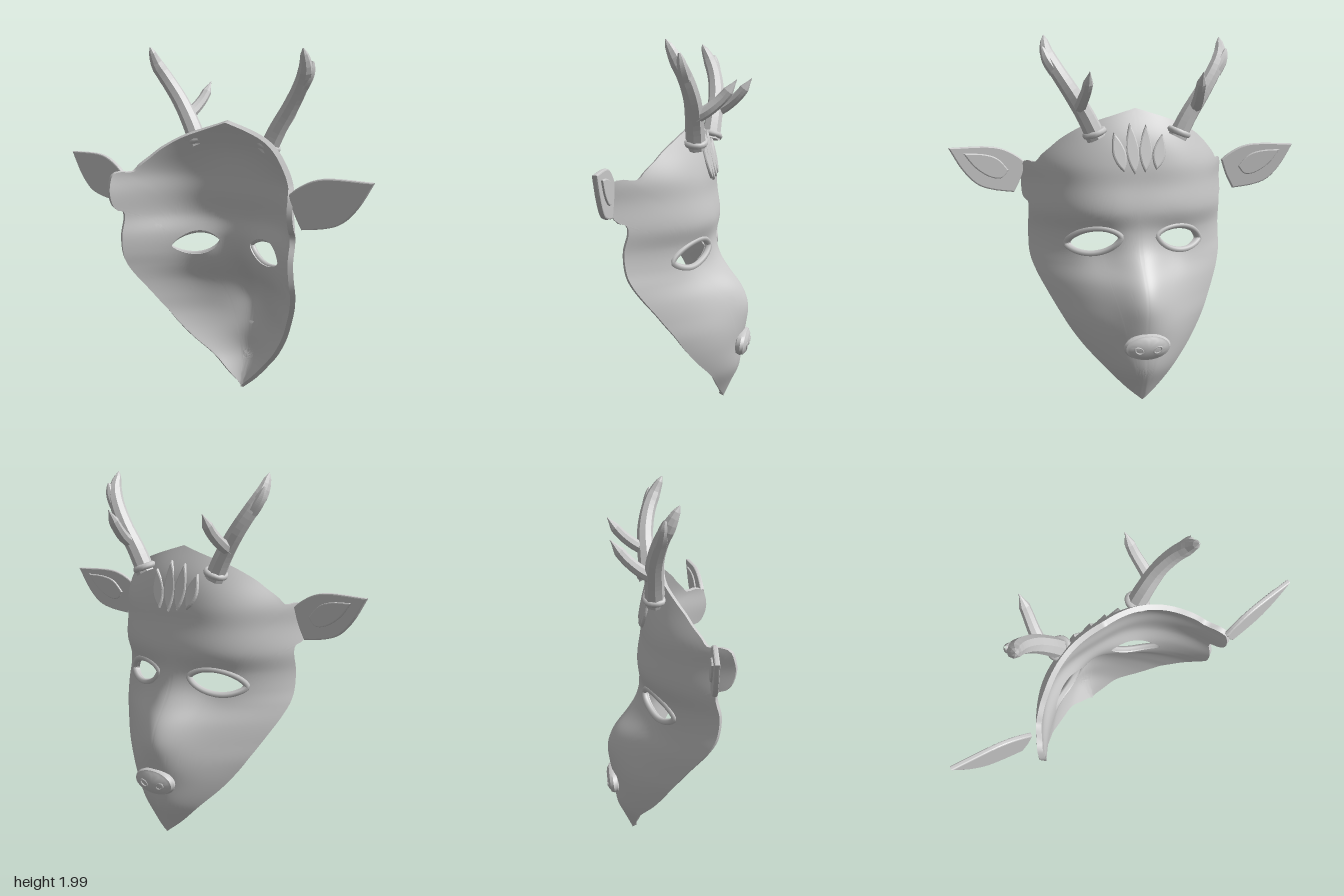
import * as THREE from 'three';
import { mergeVertices, toCreasedNormals } from 'three/addons/utils/BufferGeometryUtils.js';

const V2 = (a) => a.map(([x, y]) => new THREE.Vector2(x, y));
const V3 = (a) => a.map((p) => new THREE.Vector3(...p));
const smooth = new THREE.MeshStandardMaterial({ color: 0xcccccc });
const flat = new THREE.MeshStandardMaterial({ color: 0xcccccc, flatShading: true });

function add(parent, name, geometry, material = smooth) {
  const mesh = new THREE.Mesh(geometry, material);
  mesh.name = name;
  parent.add(mesh);
  return mesh;
}

// Reflected copy across x = 0 with the winding restored
function mirror(geometry) {
  const g = geometry.index ? geometry.toNonIndexed() : geometry.clone();
  g.scale(-1, 1, 1);
  for (const attr of Object.values(g.attributes)) {
    const { array, itemSize: n } = attr;
    for (let i = 0; i < attr.count; i += 3) {
      for (let k = 0; k < n; k++) {
        const a = (i + 1) * n + k, b = (i + 2) * n + k;
        [array[a], array[b]] = [array[b], array[a]];
      }
    }
  }
  return g;
}

function addPair(parent, name, geometry, material) {
  add(parent, 'left' + name, geometry, material);
  add(parent, 'right' + name, mirror(geometry), material);
}

// Face relief by height: centre z, sideways sweep, sweep power, snout height
const heights = [0, 0.1, 0.2, 0.34, 0.45, 0.56, 0.66, 0.76, 0.84, 0.94, 1.05, 1.2, 1.3, 1.45, 1.62];
const relief = [
  -0.17, 0.80, 1.4, 0, -0.215, 0.82, 1.5, 0, -0.262, 0.74, 1.6, 0, -0.277, 0.61, 1.75, 0,
  -0.30, 0.52, 1.65, 0.02, -0.31, 0.46, 1.7, 0.06, -0.275, 0.405, 1.85, 0.07, -0.20, 0.35, 2.1, 0.06,
  -0.15, 0.35, 2.25, 0.03, -0.125, 0.355, 2.5, 0.01, -0.135, 0.355, 2.9, 0, -0.115, 0.36, 3.2, 0,
  -0.11, 0.35, 3.1, 0, -0.083, 0.39, 2.6, 0, -0.005, 0.38, 2.4, 0,
];
const reliefCurve = new THREE.CubicInterpolant(heights, relief, 4);

function faceZ(x, y) {
  const [c, d, p, s] = reliefCurve.evaluate(THREE.MathUtils.clamp(y, 0, 1.62));
  const round = 0.13 * THREE.MathUtils.smoothstep(y, 0, 0.16);
  const sweep = Math.hypot(x / 0.57, round) ** p - round ** p;
  const socket = 0.018 * Math.exp(-(((Math.abs(x) - 0.2) / 0.1) ** 2) - ((y - 0.85) / 0.1) ** 2);
  return c + d * sweep + s * (1 - Math.exp(-((x / 0.14) ** 2))) + socket;
}

// Almond-shaped eye, tilted down toward the outside
function eyePoint(angle, grow = 0) {
  const t = angle + 0.16, s = Math.sin(t);
  const u = (0.133 + grow) * Math.cos(t);
  const v = (0.061 + grow * 0.8) * s * Math.abs(s) ** 0.4;
  return [0.242 + u * 0.987 + v * 0.16, 0.892 - u * 0.16 + v * 0.987];
}

function maskGeometry() {
  // Half outline with a small tab at the side where the ear is fixed
  const side = new THREE.SplineCurve(V2([
    [0, 0.01], [0.1, 0.095], [0.2, 0.2], [0.295, 0.3], [0.37, 0.4], [0.43, 0.5], [0.485, 0.6],
    [0.535, 0.7], [0.565, 0.8], [0.567, 0.95], [0.566, 1.08], [0.59, 1.11], [0.596, 1.2],
    [0.592, 1.29], [0.568, 1.316], [0.53, 1.31], [0.5, 1.35], [0.46, 1.39],
    [0.38, 1.46], [0.25, 1.53], [0, 1.61],
  ])).getSpacedPoints(120);
  const loop = [...side];
  for (let k = 1; k < 50; k++) loop.push(new THREE.Vector2(0, 1.61 - (1.6 * k) / 50));

  // Outer skin: rings from each eye out to the edge of its half
  const rings = 26, n = loop.length, pos = [], idx = [];
  for (const sx of [1, -1]) {
    const base = pos.length / 3;
    for (let i = 0; i <= rings; i++) {
      for (const p of loop) {
        const [ex, ey] = eyePoint(Math.atan2(p.y - 0.892, p.x - 0.242));
        const t = i / rings;
        const x = ex * (1 - t) + p.x * t, y = ey * (1 - t) + p.y * t;
        pos.push(sx * x, y, faceZ(x, y));
      }
    }
    for (let i = 0; i < rings; i++) {
      for (let j = 0; j < n; j++) {
        const a = base + i * n + j, d = base + i * n + ((j + 1) % n);
        const b = a + n, c = d + n;
        if (sx > 0) idx.push(a, c, b, a, d, c);
        else idx.push(a, b, c, a, c, d);
      }
    }
  }
  let g = new THREE.BufferGeometry();
  g.setAttribute('position', new THREE.Float32BufferAttribute(pos, 3));
  g.setIndex(idx);
  g = mergeVertices(g, 1e-4);
  g.computeVertexNormals();

  // Inner skin set in along the normals, and walls along every open edge
  const P = Array.from(g.attributes.position.array), N = g.attributes.normal.array;
  const count = P.length / 3, tri = Array.from(g.index.array), all = [...tri];
  const edges = new Set();
  for (let k = 0; k < count * 3; k++) P.push(P[k] - 0.028 * N[k]);
  for (let k = 0; k < tri.length; k += 3) {
    const [a, b, c] = tri.slice(k, k + 3);
    all.push(a + count, c + count, b + count);
    for (const [p, q] of [[a, b], [b, c], [c, a]]) edges.add(p * count + q);
  }
  for (const e of edges) {
    const a = Math.floor(e / count), b = e % count;
    if (!edges.has(b * count + a)) all.push(b, a, a + count, b, a + count, b + count);
  }
  const shell = new THREE.BufferGeometry();
  shell.setAttribute('position', new THREE.Float32BufferAttribute(P, 3));
  shell.setIndex(all);
  return toCreasedNormals(shell, 0.9);
}

// Tube whose radius follows a rule along the path
function taperedTube(points, radius, sides = 8, segments = 16) {
  const curve = new THREE.CatmullRomCurve3(V3(points));
  const g = new THREE.TubeGeometry(curve, segments, 1, sides);
  const pos = g.attributes.position, v = new THREE.Vector3();
  for (let i = 0; i < pos.count; i++) {
    const t = Math.floor(i / (sides + 1)) / segments, c = curve.getPointAt(t);
    v.fromBufferAttribute(pos, i).sub(c).multiplyScalar(radius(t)).add(c);
    pos.setXYZ(i, v.x, v.y, v.z);
  }
  return g;
}

// Flat plate with softened edges; its curved sides meet in sharp corners
function plate(edges, depth, bevel) {
  const outline = edges.flatMap((e) => new THREE.SplineCurve(V2(e)).getPoints(14).slice(0, -1));
  const g = new THREE.ExtrudeGeometry(new THREE.Shape(outline), {
    depth, bevelEnabled: true, bevelSize: bevel, bevelThickness: bevel, bevelOffset: -bevel, bevelSegments: 2,
  });
  return g.translate(0, 0, -depth / 2);
}

export function createModel() {
  const model = new THREE.Group();
  model.name = 'deerMask';
  add(model, 'maskShell', maskGeometry());

  // Low raised lids around the eyes
  const lid = [];
  for (let k = 0; k < 40; k++) {
    const [x, y] = eyePoint((k / 40) * Math.PI * 2, 0.012);
    lid.push([x, y, faceZ(x, y) + 0.007]);
  }
  addPair(model, 'EyeRim', new THREE.TubeGeometry(new THREE.CatmullRomCurve3(V3(lid), true), 64, 0.018, 6, true));

  // Nose pad with nostrils
  const nose = new THREE.Group();
  nose.name = 'nose';
  nose.position.set(0, 0.345, -0.283);
  nose.rotation.x = -0.12;
  model.add(nose);
  const pad = new THREE.LatheGeometry(V2([
    [0, -0.03], [0.09, -0.03], [0.12, -0.022], [0.13, 0], [0.12, 0.018], [0.105, 0.022], [0.09, 0.03], [0, 0.036],
  ]), 32);
  add(nose, 'nosePad', toCreasedNormals(pad.rotateX(-Math.PI / 2).scale(1, 0.57, 1), 0.7));
  addPair(nose, 'Nostril', new THREE.TorusGeometry(0.02, 0.005, 6, 16).scale(1.2, 0.8, 1)
    .rotateZ(0.5).translate(0.052, -0.008, -0.032));

  // Antlers: beam, forked end, forward tine and base collar
  addPair(model, 'AntlerBeam', taperedTube(
    [[0.225, 1.45, -0.055], [0.285, 1.57, -0.062], [0.365, 1.7, -0.065], [0.44, 1.82, -0.04], [0.48, 1.9, -0.005], [0.49, 1.995, 0.042]],
    (t) => (t < 0.8 ? 0.054 - 0.018 * t : Math.max(0.003, 0.0396 * Math.sqrt((1 - t) / 0.2))), 8, 20), flat);
  addPair(model, 'AntlerFork', taperedTube(
    [[0.44, 1.8, -0.045], [0.485, 1.87, -0.035], [0.508, 1.93, -0.03]], (t) => 0.035 - 0.029 * t ** 3), flat);
  addPair(model, 'AntlerTine', taperedTube(
    [[0.32, 1.61, -0.07], [0.315, 1.65, -0.14], [0.305, 1.71, -0.21], [0.3, 1.8, -0.28]],
    (t) => (t < 0.75 ? 0.035 - 0.01 * t : Math.max(0.002, 0.11 * (1 - t)))), flat);
  const collar = new THREE.TorusGeometry(0.05, 0.018, 8, 20).rotateX(Math.PI / 2 - 0.1).rotateZ(-0.35);
  addPair(model, 'AntlerCollar', collar.translate(0.236, 1.48, -0.055));

  // Ears, the left one mounted farther back than the right
  const ear = plate([
    [[0, 0.12], [0.05, 0.16], [0.13, 0.2], [0.23, 0.215], [0.43, 0.21]],
    [[0.43, 0.21], [0.36, 0.09], [0.28, 0.005], [0.19, -0.03], [0.07, -0.048]],
    [[0.07, -0.048], [0.03, 0.03], [0, 0.12]],
  ], 0.012, 0.007);
  const innerEar = plate([
    [[0.1, 0.08], [0.16, 0.145], [0.24, 0.172], [0.35, 0.178]],
    [[0.35, 0.178], [0.29, 0.1], [0.21, 0.045], [0.14, 0.035], [0.1, 0.08]],
  ], 0.008, 0.006).translate(0, 0, -0.013);
  for (const s of [1, -1]) {
    const group = new THREE.Group();
    group.name = s > 0 ? 'leftEar' : 'rightEar';
    group.position.set(s * 0.57, 1.18, s > 0 ? 0.295 : 0.2);
    group.rotation.y = 0.1 * s;
    add(group, 'earPlate', s > 0 ? ear : mirror(ear));
    add(group, 'innerEar', s > 0 ? innerEar : mirror(innerEar));
    model.add(group);
  }

  // Tuft of pointed locks converging down the forehead
  const locks = [[-0.135, 1.47, 0.2, 0.22], [-0.045, 1.52, 0.26, 0.06], [0.045, 1.53, 0.28, -0.06], [0.135, 1.48, 0.22, -0.22]];
  for (const [x, y, length, lean] of locks) {
    const half = (s) => [[0, 0], [0.024, 0.25], [0.037, 0.55], [0.024, 0.82], [0, 1]].map(([w, t]) => [s * w, -t * length]);
    const lock = add(model, 'hairLock', plate([half(-1), half(1).reverse()], 0.01, 0.009));
    const z = faceZ(x, y), tipZ = faceZ(x + Math.sin(lean) * length, y - length);
    lock.position.set(x, y, z - 0.006);
    lock.rotation.set(Math.atan2(z - tipZ, length), 0, lean);
  }
  return model;
}
